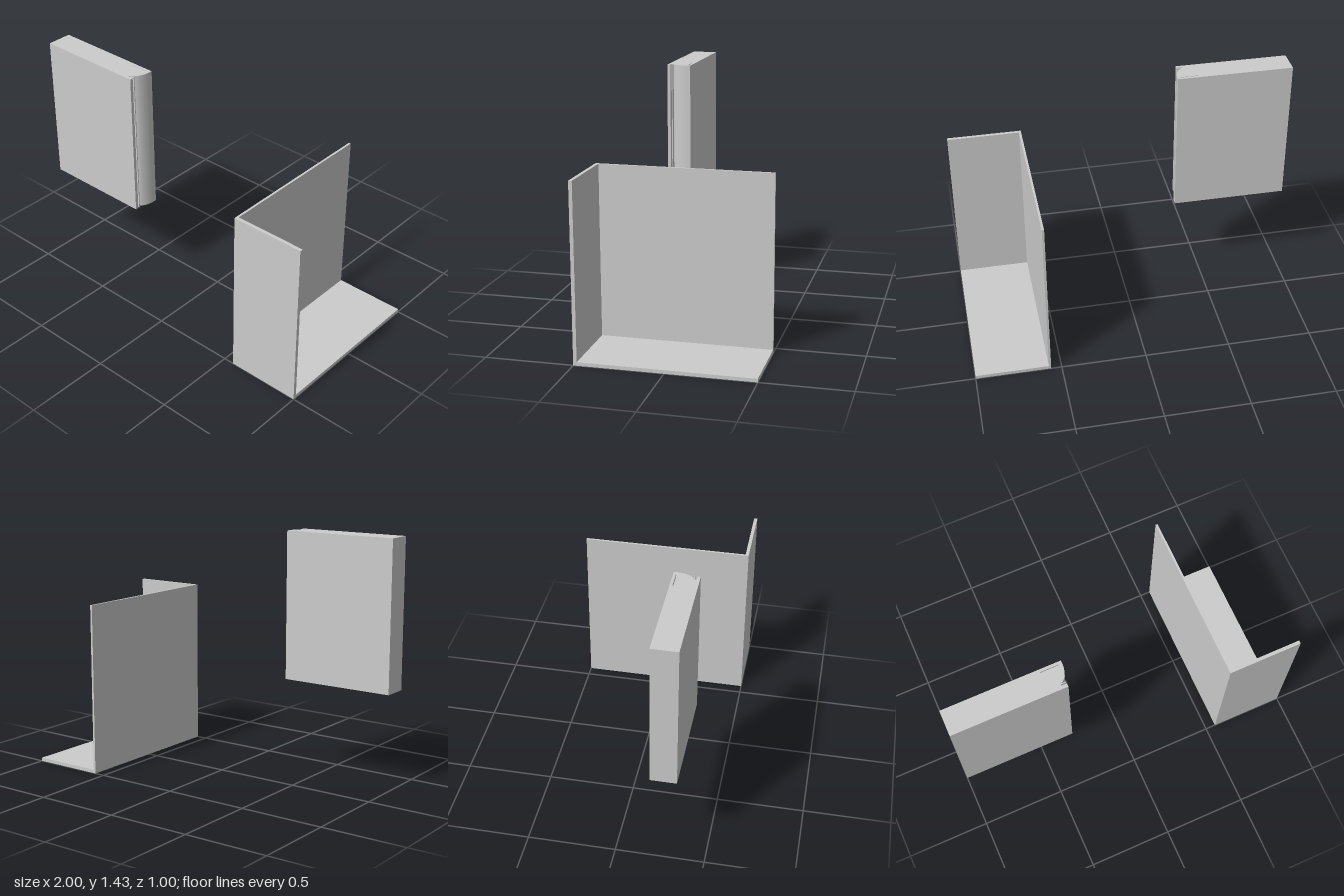
import * as THREE from 'three';
import { toCreasedNormals } from 'three/addons/utils/BufferGeometryUtils.js';

export function createModel() {
  const model = new THREE.Group();
  const material = new THREE.MeshStandardMaterial({ color: 0xcccccc });

  const add = (name, geometry, parent) => {
    const mesh = new THREE.Mesh(geometry, material);
    mesh.name = name;
    parent.add(mesh);
    return mesh;
  };
  // Box given by its lower and upper corners
  const plate = (name, lo, hi, parent) => {
    const size = hi.map((v, i) => v - lo[i]);
    add(name, new THREE.BoxGeometry(...size), parent)
      .position.set(...lo.map((v, i) => v + size[i] / 2));
  };

  // Corner bracket: three plates meeting at one corner
  const bracket = new THREE.Group();
  bracket.name = 'cornerBracket';
  plate('sidePlate', [0.562, 0, -0.5], [0.575, 1.008, 0.5], bracket);
  plate('frontPlate', [0.575, 0, 0.48], [1, 1.008, 0.5], bracket);
  plate('floorPlate', [0.575, 0, -0.5], [1, 0.02, 0.48], bracket);
  model.add(bracket);

  // Upright panel: plan profile (x, z) with a curved, grooved edge
  const profile = new THREE.Shape();
  profile.moveTo(-1, 0.193);
  profile.lineTo(-0.32, 0.193);
  profile.lineTo(-0.32, 0.218);
  profile.bezierCurveTo(-0.322, 0.26, -0.34, 0.3, -0.368, 0.309);
  profile.lineTo(-0.34, 0.309);
  profile.lineTo(-0.34, 0.314);
  profile.lineTo(-0.372, 0.314);
  profile.lineTo(-0.372, 0.322);
  profile.lineTo(-0.34, 0.322);
  profile.lineTo(-0.34, 0.341);
  profile.lineTo(-1, 0.341);
  profile.closePath();

  // Narrow slit behind the curved edge
  const slit = new THREE.Path();
  slit.moveTo(-0.445, 0.209);
  slit.lineTo(-0.445, 0.213);
  slit.lineTo(-0.34, 0.213);
  slit.lineTo(-0.34, 0.209);
  slit.closePath();
  profile.holes.push(slit);

  const panel = new THREE.ExtrudeGeometry(profile, { depth: 0.87, bevelEnabled: false, curveSegments: 16 });
  panel.rotateX(Math.PI / 2).translate(0, 1.435, 0);
  add('groovedPanel', toCreasedNormals(panel, 0.5), model);

  return model;
}
